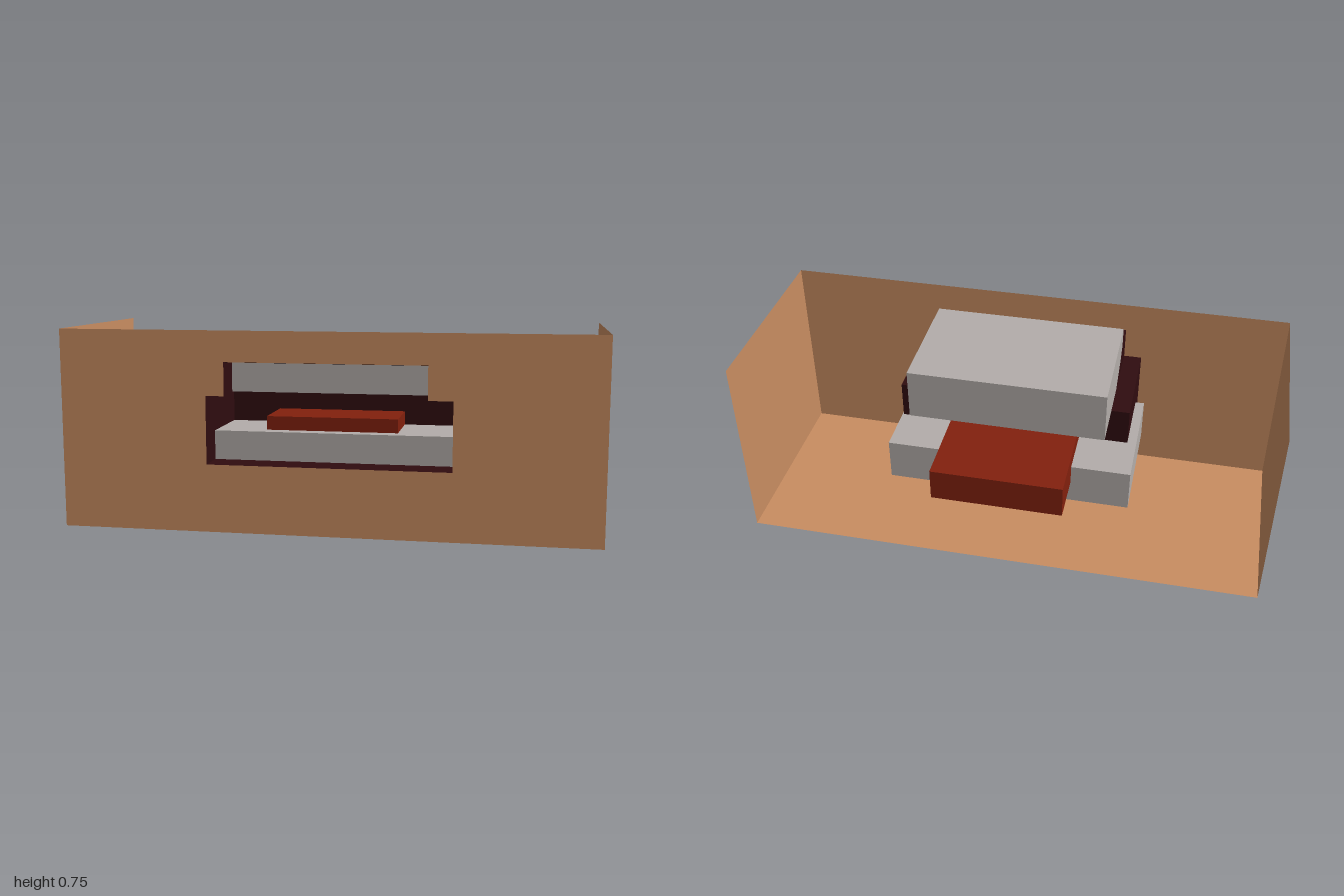
import * as THREE from 'three';

const mat = (name, color, side = THREE.FrontSide) => {
  const m = new THREE.MeshStandardMaterial({ color, side });
  m.name = name;
  return m;
};

export function createModel() {
  const model = new THREE.Group();
  const skin = mat('tan skin', 0xc98d61, THREE.DoubleSide);
  const dark = mat('dark mouth', 0x2f0c0f, THREE.DoubleSide);
  const grey = mat('tooth grey', 0xb3adaa);
  const red = mat('tongue red', 0x82200d);

  const add = (name, geometry, material) => {
    const mesh = new THREE.Mesh(geometry, material);
    mesh.name = name;
    model.add(mesh);
    return mesh;
  };
  // Box given by its two extreme corners
  const block = (name, a, b, material) => {
    const size = b.map((v, i) => v - a[i]);
    add(name, new THREE.BoxGeometry(...size), material)
      .position.set(...a.map((v, i) => (v + b[i]) / 2));
  };

  const front = 0.383, back = -0.368, height = 0.75;
  const depth = front - back, midZ = (front + back) / 2;

  // Stepped mouth outline, counter-clockwise; the ceiling drops towards the back
  const outline = (top) => [
    [-0.44, 0.255], [0.465, 0.255], [0.465, 0.51], [0.375, 0.51],
    [0.375, top], [-0.37, top], [-0.37, 0.51], [-0.44, 0.51],
  ].map(([x, y]) => new THREE.Vector2(x, y));
  const rim = outline(0.635), rear = outline(0.595);

  // Front panel with the mouth opening
  const panel = new THREE.Shape([[-1, 0], [1, 0], [1, height], [-1, height]]
    .map(([x, y]) => new THREE.Vector2(x, y)));
  panel.holes.push(new THREE.Path(rim));
  add('frontPanel', new THREE.ShapeGeometry(panel), skin).position.z = front;

  // Open shell: floor and two sides
  const floor = add('floor', new THREE.PlaneGeometry(2, depth), skin);
  floor.rotation.x = Math.PI / 2;
  floor.position.z = midZ;
  for (const s of [-1, 1]) {
    const side = add(s > 0 ? 'leftSide' : 'rightSide', new THREE.PlaneGeometry(depth, height), skin);
    side.rotation.y = s * Math.PI / 2;
    side.position.set(s, height / 2, midZ);
  }

  // Mouth lining: walls between rim and rear outlines, facing inwards
  const walls = [];
  rim.forEach((p, i) => {
    const j = (i + 1) % rim.length;
    const a = [p.x, p.y, front], b = [rim[j].x, rim[j].y, front];
    const c = [rear[j].x, rear[j].y, 0], d = [rear[i].x, rear[i].y, 0];
    walls.push(...a, ...b, ...c, ...a, ...c, ...d);
  });
  const lining = new THREE.BufferGeometry();
  lining.setAttribute('position', new THREE.Float32BufferAttribute(walls, 3));
  lining.computeVertexNormals();
  add('mouthWalls', lining, dark);
  add('mouthBack', new THREE.ShapeGeometry(new THREE.Shape(rear)), dark);

  // Teeth and tongue
  block('upperTeeth', [-0.37, 0.515, -0.19], [0.375, 0.71, 0.27], grey);
  block('lowerTeeth', [-0.475, 0.2, -0.19], [0.47, 0.365, 0.27], grey);
  block('tongue', [-0.25, 0.29, -0.383], [0.25, 0.417, 0.22], red);

  return model;
}
